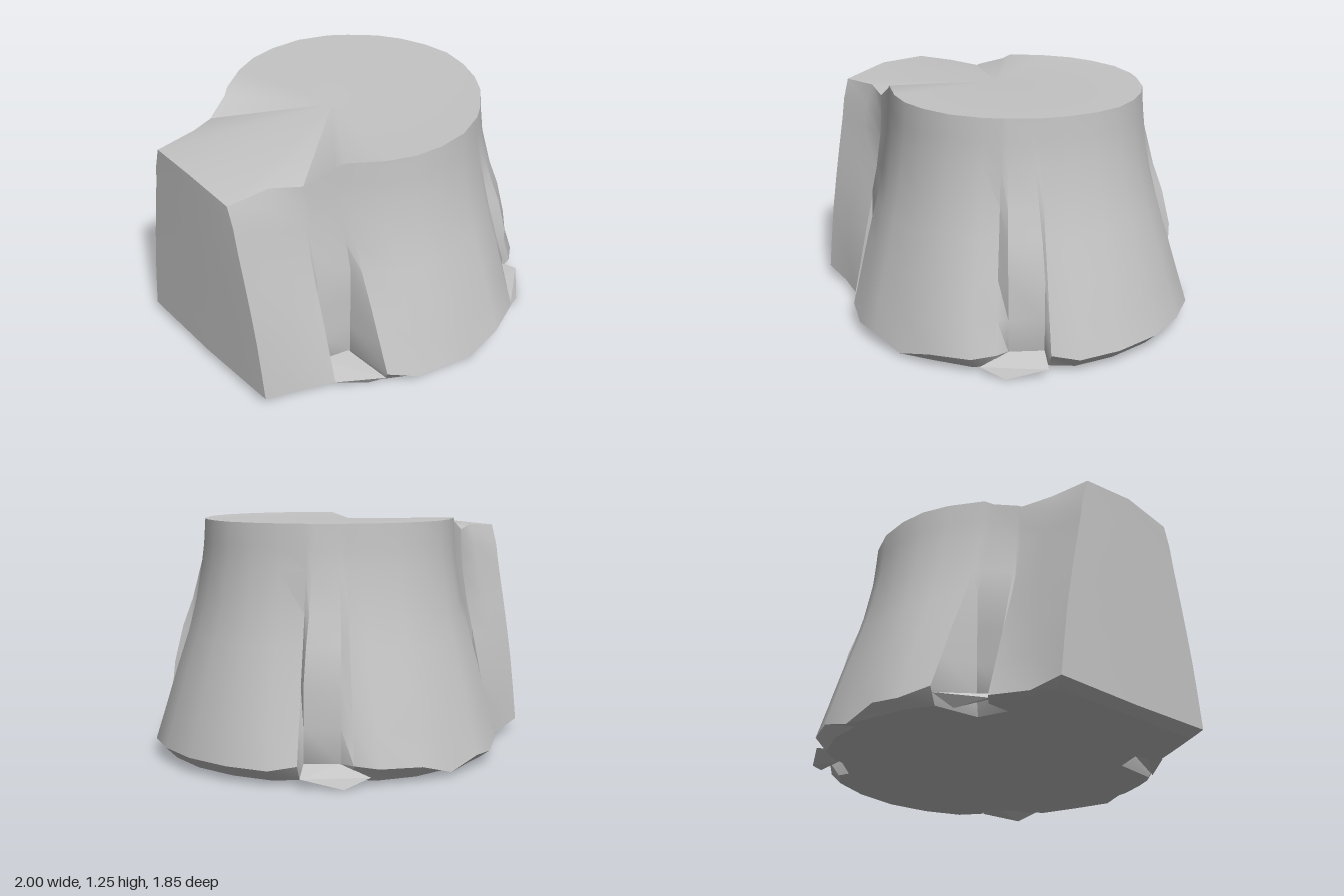
import * as THREE from 'three';
import { toCreasedNormals } from 'three/addons/utils/BufferGeometryUtils.js';
import { ConvexGeometry } from 'three/addons/geometries/ConvexGeometry.js';

// Columns of the trunk from the lobe end round the front to the right:
// top x, z, y, then bottom x, z, y, then for the floor of a gap between roots
// the share of the flare at which it stops widening (1 elsewhere)
const HALF = [
  [-0.98, 0.29, 1.15, -0.97, 0.50, 0.06, 1],
  [-0.75, 0.31, 1.16, -0.80, 0.53, 0.03, 1],
  [-0.60, 0.38, 1.14, -0.61, 0.62, 0.04, 1],
  [-0.58, 0.39, 1.15, -0.60, 0.48, 0.09, 0.4],
  [-0.46, 0.45, 1.22, -0.44, 0.54, 0.11, 0.3],
  [-0.42, 0.48, 1.245, -0.41, 0.80, 0.10, 1],
  [-0.26, 0.59, 1.245, -0.27, 0.88, 0.06, 1],
  [-0.12, 0.65, 1.245, -0.12, 0.92, 0.07, 1],
  [0.03, 0.67, 1.245, 0.08, 0.925, 0.02, 1],
  [0.20, 0.655, 1.245, 0.28, 0.915, 0.08, 1],
  [0.36, 0.59, 1.245, 0.49, 0.83, 0.09, 1],
  [0.43, 0.54, 1.245, 0.565, 0.73, 0.10, 1],
  [0.455, 0.52, 1.245, 0.58, 0.655, 0.10, 0.5],
  [0.55, 0.43, 1.245, 0.705, 0.525, 0.10, 0.5],
  [0.575, 0.405, 1.245, 0.77, 0.55, 0.10, 1],
  [0.65, 0.29, 1.245, 0.88, 0.46, 0.08, 1],
  [0.705, 0.15, 1.245, 0.965, 0.25, 0.08, 1],
];

// Height fraction from the top, and how far the flare has opened
const LEVELS = [[0, 0], [0.1, 0.03], [0.2, 0.07], [0.38, 0.22], [0.51, 0.37], [0.68, 0.6], [0.85, 0.81], [1, 1]];

function geometryFrom(triangles, crease) {
  const g = new THREE.BufferGeometry().setFromPoints(triangles);
  return toCreasedNormals(g, crease);
}

export function createModel() {
  const group = new THREE.Group();
  const grey = new THREE.MeshStandardMaterial({ color: 0xc4c4c4 });
  grey.name = 'plain grey';
  const add = (geometry, name) => {
    const mesh = new THREE.Mesh(geometry, grey);
    mesh.name = name;
    group.add(mesh);
  };

  // The back half mirrors the front, with a slightly higher lobe
  const back = HALF.map(([a, b, c, ...rest]) => [a, -b, a < -0.5 ? c + 0.03 : c, rest[0], -rest[1], rest[2], rest[3]]);
  const columns = [
    ...HALF,
    [0.73, 0, 1.245, 1, 0, 0.08, 1],
    ...back.reverse(),
    [-0.995, 0, 1.19, -0.975, 0, 0.05, 1],
  ];
  const count = columns.length;

  // The lobe swells quickly below its top, the rest flares towards the ground
  const rings = LEVELS.map(([s, t]) => columns.map(([tx, tz, ty, bx, bz, by, stop]) => {
    const k = bx < -0.7 ? Math.sqrt(t) : Math.min(1, t / stop);
    return new THREE.Vector3(
      THREE.MathUtils.lerp(tx, bx, k),
      THREE.MathUtils.lerp(ty, by, s),
      THREE.MathUtils.lerp(tz, bz, k));
  }));

  // Flared trunk wall with root gaps, turned under at the bottom
  const base = rings[rings.length - 1].map((p) => new THREE.Vector3(p.x * 0.94, 0.02, p.z * 0.94));
  rings.push(base);
  const wall = [];
  for (let i = 0; i < rings.length - 1; i++) {
    for (let j = 0; j < count; j++) {
      const k = (j + 1) % count;
      const a = rings[i][j], b = rings[i + 1][j], c = rings[i + 1][k], d = rings[i][k];
      wall.push(a, b, c, a, c, d);
    }
  }
  add(geometryFrom(wall, 0.6), 'trunk');

  // Cut top, sloping down over the lobe
  const centre = new THREE.Vector3(-0.1, 1.235, 0);
  const top = [];
  rings[0].forEach((p, j) => top.push(centre, p, rings[0][(j + 1) % count]));
  add(geometryFrom(top, 0.6), 'cutTop');

  // Flat underside
  const flat = base.map((p) => new THREE.Vector2(p.x, p.z));
  const under = [];
  for (const [i, j, k] of THREE.ShapeUtils.triangulateShape(flat, [])) {
    const turn = flat[j].clone().sub(flat[i]).cross(flat[k].clone().sub(flat[i]));
    under.push(base[i], ...(turn > 0 ? [base[j], base[k]] : [base[k], base[j]]));
  }
  add(geometryFrom(under, 0.6), 'underside');

  // Low splinters at the foot of each gap
  const splinters = [
    [[0.52, 0.05, 0.8], [0.79, 0.05, 0.59], [0.58, 0.1, 0.65], [0.7, 0.1, 0.52], [0.64, 0, 0.74]],
    [[-0.61, 0.03, 0.61], [-0.41, 0.07, 0.79], [-0.6, 0.09, 0.47], [-0.45, 0.11, 0.53], [-0.46, 0, 0.7]],
  ];
  for (const side of [1, -1]) {
    for (const points of splinters) {
      add(new ConvexGeometry(points.map(([x, y, z]) => new THREE.Vector3(x, y, z * side))), 'rootSplinter');
    }
  }
  return group;
}
